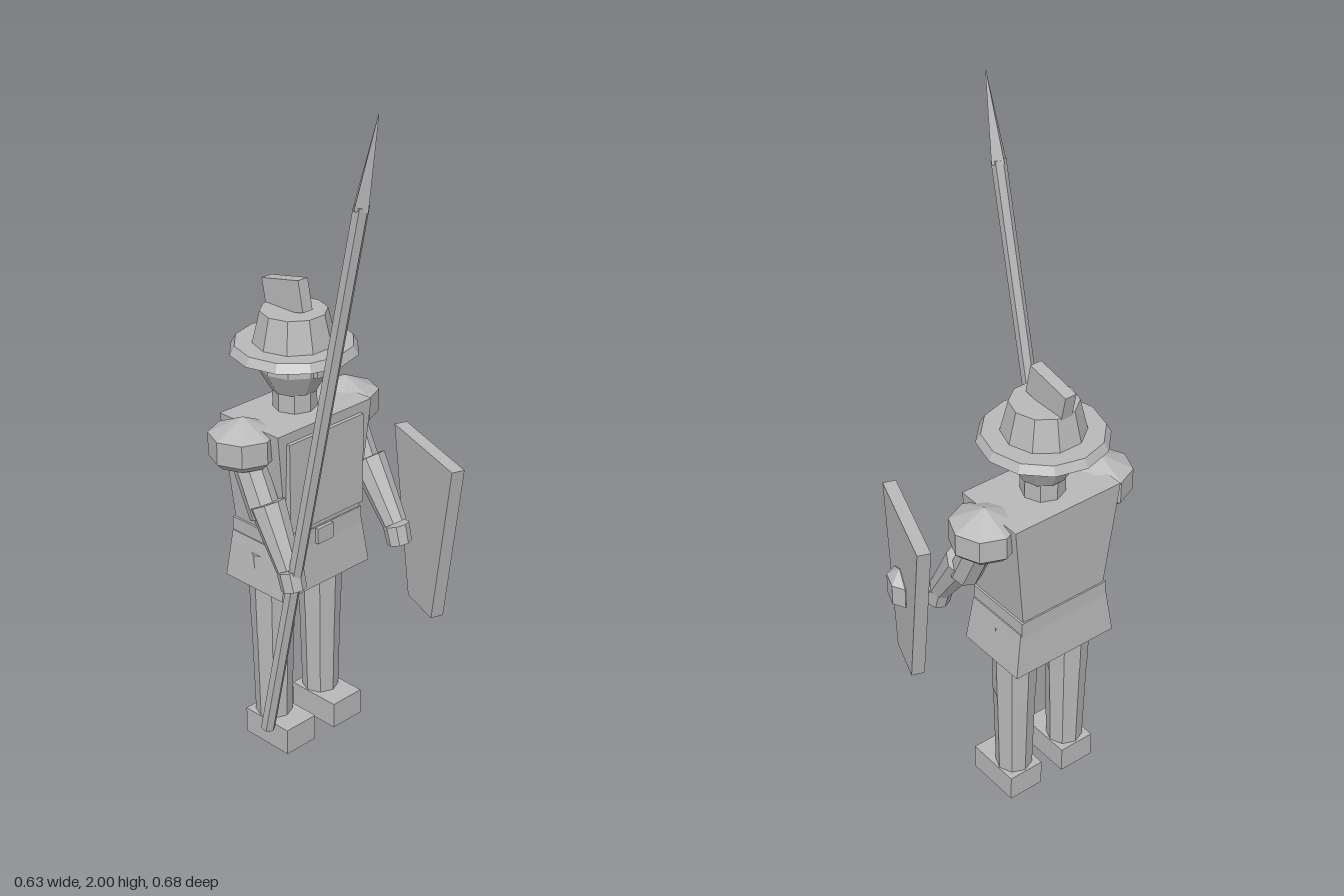
import * as THREE from 'three';

const CX = -0.026, CZ = -0.16; // axis of the body

export function createModel() {
  const model = new THREE.Group();
  const grey = new THREE.MeshStandardMaterial({ color: 0xb8b8b8, flatShading: true });
  grey.name = 'plain grey';

  const add = (name, geo, x = 0, y = 0, z = 0, parent = model) => {
    const mesh = new THREE.Mesh(geo, grey);
    mesh.name = name;
    mesh.position.set(x, y, z);
    parent.add(mesh);
    return mesh;
  };

  // Box between two heights whose top and bottom rectangles differ
  const taper = (name, y0, w0, d0, y1, w1, d1, x = CX, z = CZ + 0.005) => {
    const geo = new THREE.BoxGeometry(1, 1, 1);
    const p = geo.attributes.position;
    for (let i = 0; i < p.count; i++) {
      const up = p.getY(i) > 0;
      p.setXYZ(i, p.getX(i) * (up ? w1 : w0), up ? y1 : y0, p.getZ(i) * (up ? d1 : d0));
    }
    return add(name, geo, x, 0, z);
  };

  // Tapered limb from point a to point b
  const limb = (name, a, b, ra, rb, sides) => {
    const A = new THREE.Vector3(...a), B = new THREE.Vector3(...b);
    const dir = B.clone().sub(A);
    const mesh = add(name, new THREE.CylinderGeometry(rb, ra, dir.length(), sides));
    mesh.position.copy(A).add(B).multiplyScalar(0.5);
    mesh.quaternion.setFromUnitVectors(new THREE.Vector3(0, 1, 0), dir.normalize());
    return mesh;
  };

  // Turned part around the body axis
  const turned = (name, pts, sides, turn = 0, x = CX, z = CZ) => {
    const geo = new THREE.LatheGeometry(pts.map(([r, y]) => new THREE.Vector2(r, y)), sides);
    geo.rotateY(turn);
    return add(name, geo, x, 0, z);
  };

  // Legs and feet
  for (const [side, x] of [['right', -0.124], ['left', 0.067]]) {
    add(side + 'Foot', new THREE.BoxGeometry(0.113, 0.08, 0.172), x, 0.04, -0.133);
    limb(side + 'Shin', [x, 0.06, CZ], [x, 0.37, CZ], 0.053, 0.061, 8);
    limb(side + 'Thigh', [x, 0.36, CZ], [x, 0.62, CZ], 0.062, 0.068, 8);
  }

  // Tunic, belt and breastplate
  taper('skirt', 0.52, 0.345, 0.23, 0.66, 0.305, 0.21);
  taper('belt', 0.65, 0.298, 0.214, 0.7, 0.298, 0.214);
  taper('torso', 0.7, 0.285, 0.205, 1.03, 0.36, 0.23);
  add('buckle', new THREE.BoxGeometry(0.06, 0.048, 0.02), -0.03, 0.675, -0.047);
  const plate = taper('breastplate', 0.727, 0.285, 0.03, 1.0, 0.285, 0.03, -0.03, -0.045);
  plate.name = 'breastplate';

  // Neck and head
  turned('neck', [[0, 1.02], [0.062, 1.02], [0.062, 1.1], [0, 1.1]], 8);
  turned('head', [[0, 1.085], [0.066, 1.085], [0.102, 1.15], [0.1, 1.21], [0, 1.21]], 10, Math.PI / 2);
  add('nose', new THREE.BoxGeometry(0.04, 0.046, 0.05), CX - 0.003, 1.173, -0.072);

  // Helmet with brim, crown and crest
  turned('brim', [[0, 1.2], [0.181, 1.2], [0.167, 1.225], [0, 1.225]], 12);
  turned('crown', [[0, 1.22], [0.117, 1.22], [0.094, 1.316], [0, 1.316]], 10, Math.PI / 2);
  const crest = add('crest', new THREE.BoxGeometry(0.036, 0.09, 0.145), CX, 1.353, -0.186);
  crest.rotation.x = -0.2;

  // Shoulder pads, arms and hands
  for (const [side, x, handX, reach] of [['right', -0.222, -0.225, 0], ['left', 0.172, 0.17, 0.025]]) {
    turned(side + 'ShoulderPad',
      [[0, 0.928], [0.076, 0.928], [0.096, 0.948], [0.096, 1.015], [0, 1.06]], 8, 0, x, CZ);
    limb(side + 'UpperArm', [x, 0.98, -0.165], [x, 0.79, -0.075], 0.046, 0.046, 8);
    limb(side + 'Forearm', [x, 0.83, -0.07], [handX, 0.66, 0.015 + reach], 0.052, 0.036, 8);
    limb(side + 'Hand', [handX, 0.66, 0.02 + reach], [handX, 0.605, 0.035 + reach], 0.038, 0.036, 8);
  }

  // Spear leaning forward
  const sx = -0.225;
  limb('spearShaft', [sx, 0.1, -0.08], [sx, 1.765, 0.284], 0.021, 0.021, 6);
  limb('spearHead', [sx, 1.755, 0.282], [sx, 2.0, 0.338], 0.025, 0.001, 4);

  // Shield with a central boss
  const shield = new THREE.Group();
  shield.name = 'shield';
  shield.position.set(0.238, 0, 0.103);
  shield.rotation.y = 1.22;
  model.add(shield);
  const outline = new THREE.Shape([[-0.173, 0.9], [-0.072, 0.387], [0.072, 0.387], [0.173, 0.9]]
    .map(([x, y]) => new THREE.Vector2(x, y)));
  add('shieldPlate', new THREE.ExtrudeGeometry(outline, { depth: 0.039, bevelEnabled: false }),
    0, 0, -0.0195, shield);
  const boss = add('shieldBoss', new THREE.SphereGeometry(0.065, 6, 3), -0.012, 0.65, 0.022, shield);
  boss.scale.z = 0.62;

  return model;
}
